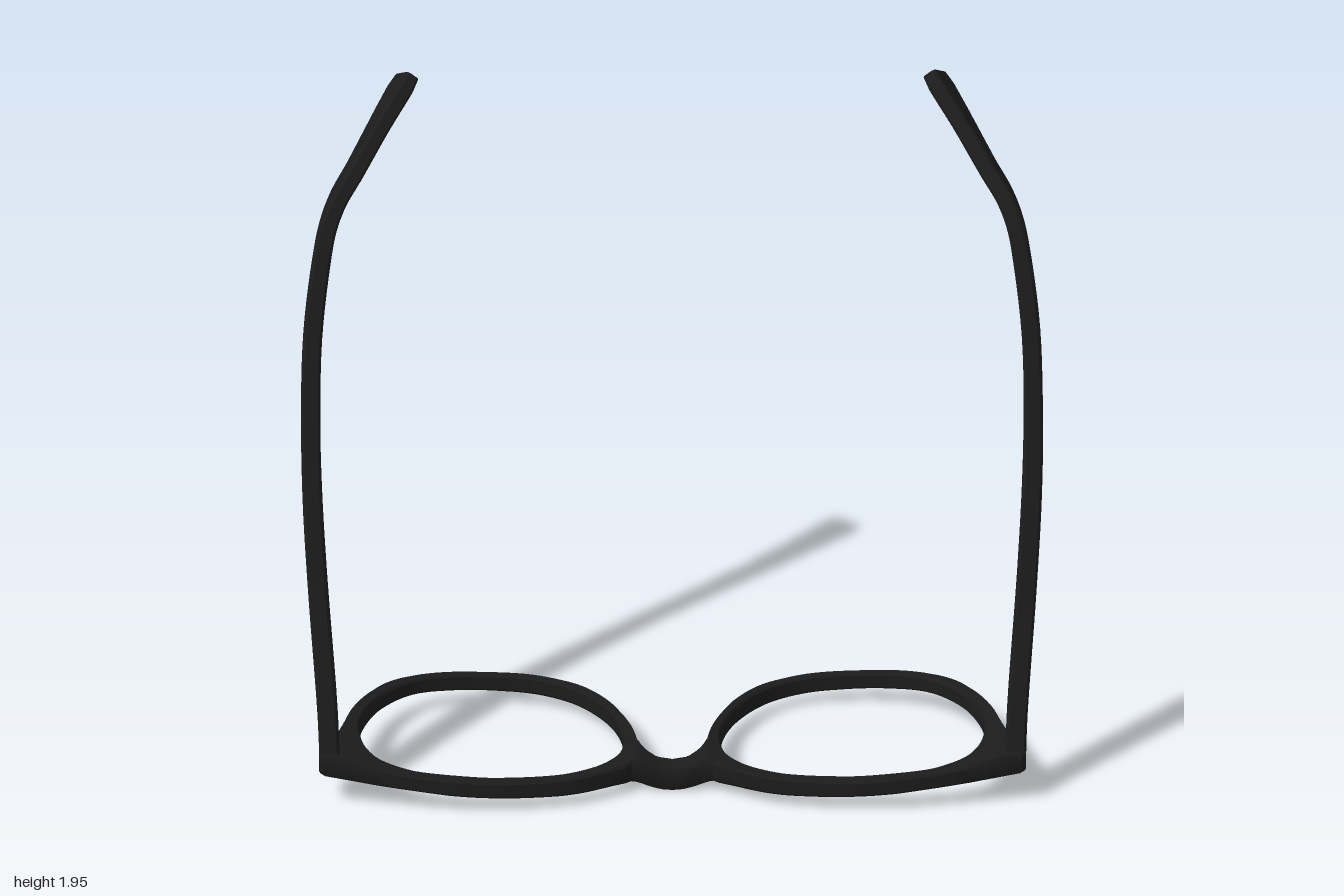
import * as THREE from 'three';
import { toCreasedNormals } from 'three/addons/utils/BufferGeometryUtils.js';

const material = new THREE.MeshStandardMaterial({ color: 0x1c1c1c });

// Evenly spaced [x, z] points on a smooth curve; the closing point is left off
function smooth(points, count, closed = false) {
  const curve = new THREE.CatmullRomCurve3(
    points.map(([x, z]) => new THREE.Vector3(x, 0, z)), closed, 'centripetal');
  return curve.getSpacedPoints(count).slice(0, count).map((p) => [p.x, p.z]);
}

// Piecewise-linear lookup in [position, value] pairs
function lookup(table, x) {
  let i = 1;
  while (i < table.length - 1 && table[i][0] < x) i++;
  const [x0, y0] = table[i - 1];
  const [x1, y1] = table[i];
  return y0 + (y1 - y0) * (x - x0) / (x1 - x0);
}

// Skin over equal rings of [x, y, z], counter-clockwise about the travel direction
function loft(name, rings, closed) {
  const n = rings[0].length;
  const index = [];
  const count = closed ? rings.length : rings.length - 1;
  for (let i = 0; i < count; i++) {
    const a = i * n;
    const b = ((i + 1) % rings.length) * n;
    for (let j = 0; j < n; j++) {
      const k = (j + 1) % n;
      index.push(a + j, a + k, b + k, a + j, b + k, b + j);
    }
  }
  if (!closed) {
    const last = count * n;
    for (let j = 1; j < n - 1; j++) index.push(0, j + 1, j, last, last + j, last + j + 1);
  }
  const geometry = new THREE.BufferGeometry();
  geometry.setAttribute('position', new THREE.Float32BufferAttribute(rings.flat(2), 3));
  geometry.setIndex(index);
  const mesh = new THREE.Mesh(toCreasedNormals(geometry, 0.6), material);
  mesh.name = name;
  return mesh;
}

// Mirrored rings keep their winding by reversing each ring
const mirror = (rings) => rings.map((ring) => ring.map(([x, y, z]) => [-x, y, z]).reverse());

// Underside and upper side heights of the front across its half width
const bottom = [[0, 0.003], [0.03, 0.006], [0.06, 0.015], [0.1, 0.032], [0.14, 0.035], [0.3, 0.037],
  [0.45, 0.043], [0.6, 0.053], [0.8, 0.074], [0.96, 0.094]];
const top = [[0, 0.067], [0.04, 0.073], [0.09, 0.1], [0.14, 0.09], [0.3, 0.087], [0.5, 0.093],
  [0.7, 0.108], [0.8, 0.124], [0.88, 0.147], [0.96, 0.155]];

// Chamfered section of the front between an inner and an outer [x, z] point
function frontSection(inner, outer) {
  const f = 0.005 / Math.hypot(outer[0] - inner[0], outer[1] - inner[1]);
  const corners = [[0, 0.12], [0, 0.88], [f, 1], [0.5, 1], [1 - f, 1],
    [1, 0.88], [1, 0.12], [1 - f, 0], [0.5, 0], [f, 0]];
  return corners.map(([s, h]) => {
    const x = THREE.MathUtils.lerp(inner[0], outer[0], s);
    const z = THREE.MathUtils.lerp(inner[1], outer[1], s);
    const w = Math.abs(x);
    return [x, THREE.MathUtils.lerp(lookup(bottom, w), lookup(top, w), h), z];
  });
}

// Rim with end piece: outer contour paired with the lens opening along rays from the lens centre
function rimRings() {
  const outer = [
    ...smooth([[0.09, 0.13], [0.098, 0.185], [0.12, 0.213], [0.16, 0.235], [0.25, 0.28], [0.36, 0.308],
      [0.53, 0.325], [0.7, 0.312], [0.94, 0.275]], 50),
    [0.94, 0.275],
    ...smooth([[0.952, 0.262], [0.94, 0.2], [0.905, 0.13]], 6),
    ...smooth([[0.902, 0.12], [0.885, 0.06], [0.86, -0.04], [0.82, -0.14], [0.77, -0.22],
      [0.7, -0.28], [0.6, -0.317], [0.47, -0.33], [0.35, -0.315], [0.245, -0.262], [0.165, -0.165],
      [0.115, -0.04], [0.095, 0.06], [0.09, 0.13]], 90),
  ];
  const cx = 0.48;
  const polar = smooth([[0.13, 0.07], [0.143, -0.04], [0.19, -0.15], [0.268, -0.243], [0.36, -0.29],
    [0.47, -0.304], [0.6, -0.289], [0.695, -0.246], [0.775, -0.152], [0.82, -0.05], [0.842, 0.06],
    [0.828, 0.165], [0.785, 0.232], [0.7, 0.271], [0.55, 0.285], [0.42, 0.279], [0.32, 0.262],
    [0.25, 0.238], [0.19, 0.2], [0.145, 0.14]], 200, true)
    .map(([x, z]) => [Math.atan2(z, x - cx), Math.hypot(z, x - cx)])
    .sort((a, b) => a[0] - b[0]);
  return outer.map((point) => {
    const angle = Math.atan2(point[1], point[0] - cx);
    const r = lookup(polar, angle);
    return frontSection([cx + r * Math.cos(angle), r * Math.sin(angle)], point);
  });
}

// Arched bridge, flaring where it meets the rims
function bridgeRings() {
  const back = [[0, 0.13], [0.045, 0.128], [0.07, 0.119], [0.085, 0.1], [0.1, 0.06]];
  const front = [[0, 0.198], [0.08, 0.2], [0.11, 0.205]];
  const rings = [];
  for (let i = -12; i <= 12; i++) {
    const x = 0.11 * i / 12;
    const w = Math.abs(x);
    rings.push(frontSection([x, lookup(back, w)], [x, lookup(front, w)]));
  }
  return rings;
}

// Temple stations: x, y, z, thickness, width
const templeRows = [
  [0.923, 0.1, 0.23, 0.055, 0.085],
  [0.929, 0.25, 0.2, 0.054, 0.083],
  [0.955, 0.6, 0.122, 0.053, 0.088],
  [0.969, 0.85, 0.078, 0.053, 0.094],
  [0.973, 1.07, 0.05, 0.052, 0.073],
  [0.967, 1.3, 0.02, 0.05, 0.062],
  [0.944, 1.5, -0.018, 0.048, 0.058],
  [0.926, 1.595, -0.04, 0.046, 0.058],
  [0.899, 1.662, -0.07, 0.045, 0.06],
  [0.851, 1.73, -0.12, 0.045, 0.065],
  [0.785, 1.825, -0.196, 0.044, 0.081],
  [0.73, 1.897, -0.262, 0.044, 0.1],
  [0.71, 1.923, -0.288, 0.038, 0.09],
];

// Chamfered rectangle swept up the arm and round the ear bend
function templeRings() {
  const curve = new THREE.CatmullRomCurve3(
    templeRows.map(([x, y, z]) => new THREE.Vector3(x, y, z)));
  const thickness = templeRows.map((row, i) => [i, row[3]]);
  const width = templeRows.map((row, i) => [i, row[4]]);
  const spans = templeRows.length - 1;
  const rings = [];
  for (let i = 0; i <= spans * 5; i++) {
    const u = i / (spans * 5);
    const center = curve.getPoint(u);
    const tangent = curve.getTangent(u);
    const across = new THREE.Vector3(tangent.y, -tangent.x, 0).normalize();
    const wide = new THREE.Vector3().crossVectors(tangent, across);
    const a = lookup(thickness, u * spans) / 2;
    const b = lookup(width, u * spans) / 2;
    const c = 0.007;
    const section = [[a, c - b], [a, b - c], [a - c, b], [c - a, b],
      [-a, b - c], [-a, c - b], [c - a, -b], [a - c, -b]];
    rings.push(section.map(([n, w]) =>
      center.clone().addScaledVector(across, n).addScaledVector(wide, w).toArray()));
  }
  return rings;
}

export function createModel() {
  const group = new THREE.Group();
  group.name = 'eyeglasses';
  const rim = rimRings();
  const temple = templeRings();
  group.add(
    loft('leftRim', rim, true),
    loft('rightRim', mirror(rim), true),
    loft('bridge', bridgeRings(), false),
    loft('leftTemple', temple, false),
    loft('rightTemple', mirror(temple), false),
  );
  return group;
}
